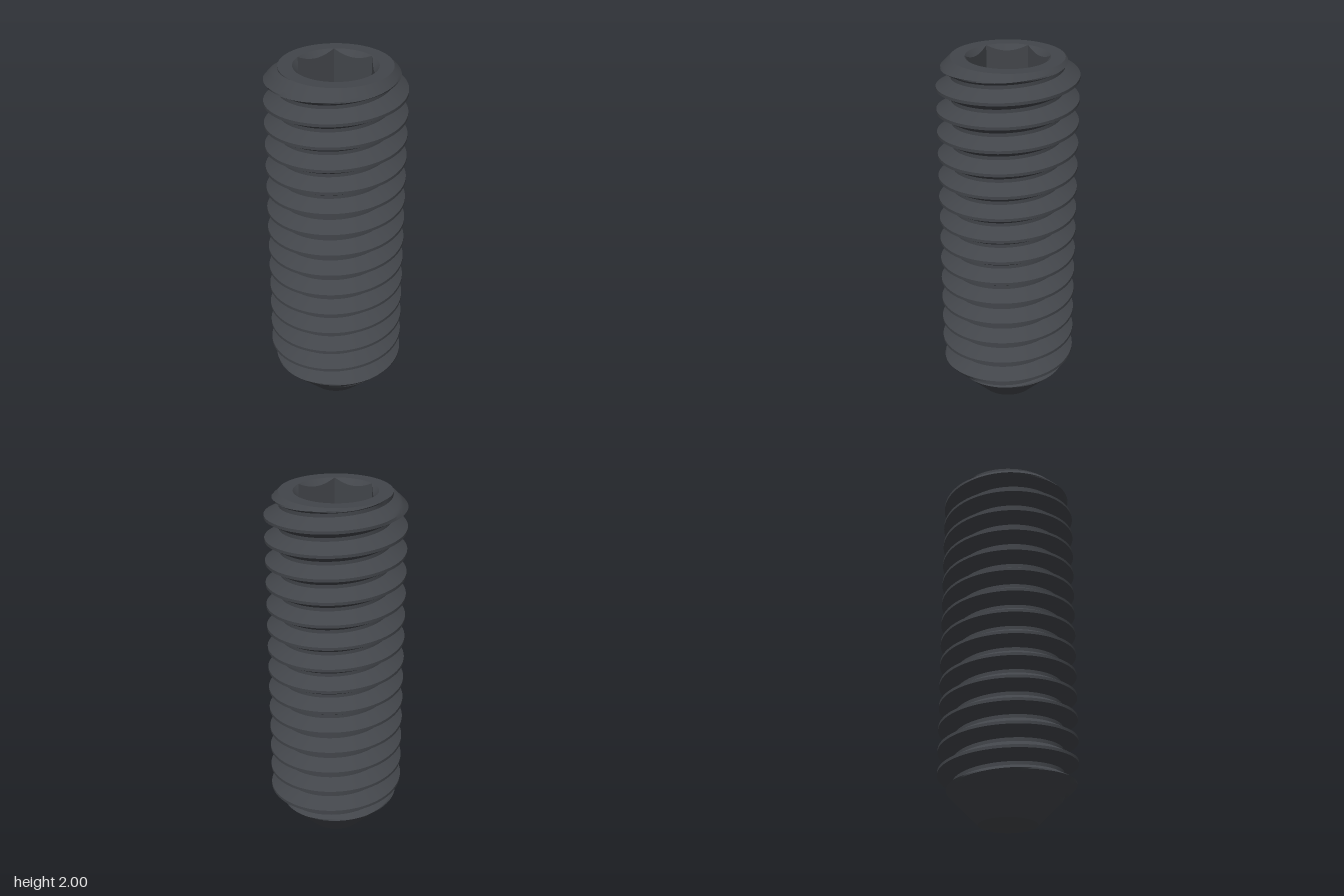
import * as THREE from 'three';
import { toCreasedNormals } from 'three/addons/utils/BufferGeometryUtils.js';

const TAU = Math.PI * 2;
const HEIGHT = 2, PITCH = 0.1255, CREST_Y = 0.249;
const R_CREST = 0.375, R_ROOT = 0.297, R_TIP = 0.157;
const R_HEX = 0.222, FLAT = 0.192, SOCKET_DEPTH = 0.33;

// Sweeps a profile round the y axis; pointAt(theta, row) returns [radius, y]
function sweep(columns, rows, pointAt) {
  const pos = [], index = [];
  for (let i = 0; i <= columns; i++) {
    const a = (i / columns) * TAU;
    for (let j = 0; j < rows; j++) {
      const [r, y] = pointAt(a, j);
      pos.push(r * Math.cos(a), y, -r * Math.sin(a));
    }
  }
  const same = (p, q) => [0, 1, 2].every(k => Math.abs(pos[p * 3 + k] - pos[q * 3 + k]) < 1e-6);
  const tri = (p, q, s) => {
    if (!same(p, q) && !same(q, s) && !same(s, p)) index.push(p, q, s);
  };
  for (let i = 0; i < columns; i++) {
    for (let j = 0; j < rows - 1; j++) {
      const a = i * rows + j, b = a + rows;
      tri(a, b, b + 1);
      tri(a, b + 1, a + 1);
    }
  }
  const geo = new THREE.BufferGeometry();
  geo.setAttribute('position', new THREE.Float32BufferAttribute(pos, 3));
  geo.setIndex(index);
  return toCreasedNormals(geo, 0.45);
}

// Radius of the 60 degree thread, cut by the end chamfers
function threadRadius(a, y) {
  const turn = (y - CREST_Y) / PITCH - a / TAU;
  const d = Math.abs(turn - Math.round(turn)) * PITCH;
  const thread = Math.max(R_ROOT, R_CREST - Math.max(0, d - 0.008) / Math.tan(Math.PI / 6));
  return Math.min(thread, R_TIP + y * 0.97, R_ROOT + HEIGHT - y);
}

// Distance from the axis to the hexagon wall, corners on the x axis
function hexRadius(a) {
  const s = Math.PI / 3;
  return FLAT / Math.cos((a % s) - s / 2);
}

export function createModel() {
  const group = new THREE.Group();
  group.name = 'setScrew';
  const material = new THREE.MeshStandardMaterial({ color: 0x42454a });
  const add = (name, geometry) => {
    const mesh = new THREE.Mesh(geometry, material);
    mesh.name = name;
    group.add(mesh);
  };

  // Row heights that follow the helix: both flanks of every turn
  const flankEnd = 0.008 + (R_CREST - R_ROOT) * Math.tan(Math.PI / 6);
  const steps = 6, offsets = [];
  for (let turn = -3; turn <= 15; turn++) {
    for (const side of [-1, 1]) {
      for (let k = 0; k <= steps; k++) {
        const t = side < 0 ? 1 - k / steps : k / steps;
        offsets.push(turn * PITCH + side * (0.008 + (flankEnd - 0.008) * t));
      }
    }
  }
  add('threadedBody', sweep(120, offsets.length, (a, j) => {
    const y = THREE.MathUtils.clamp(CREST_Y + PITCH * a / TAU + offsets[j], 0, HEIGHT);
    return [threadRadius(a, y), y];
  }));

  // Conical hollow in the tip
  const cup = [[0, 0.09], [R_TIP, 0]];
  add('cupPoint', sweep(120, 2, (a, j) => cup[j]));

  // Flat top, countersink, hexagon walls and floor
  add('hexSocket', sweep(120, 5, (a, j) => {
    const r = hexRadius(a), floor = HEIGHT - SOCKET_DEPTH;
    return [
      [R_ROOT, HEIGHT], [R_HEX, HEIGHT], [r, HEIGHT - (R_HEX - r)], [r, floor], [0, floor],
    ][j];
  }));
  return group;
}
